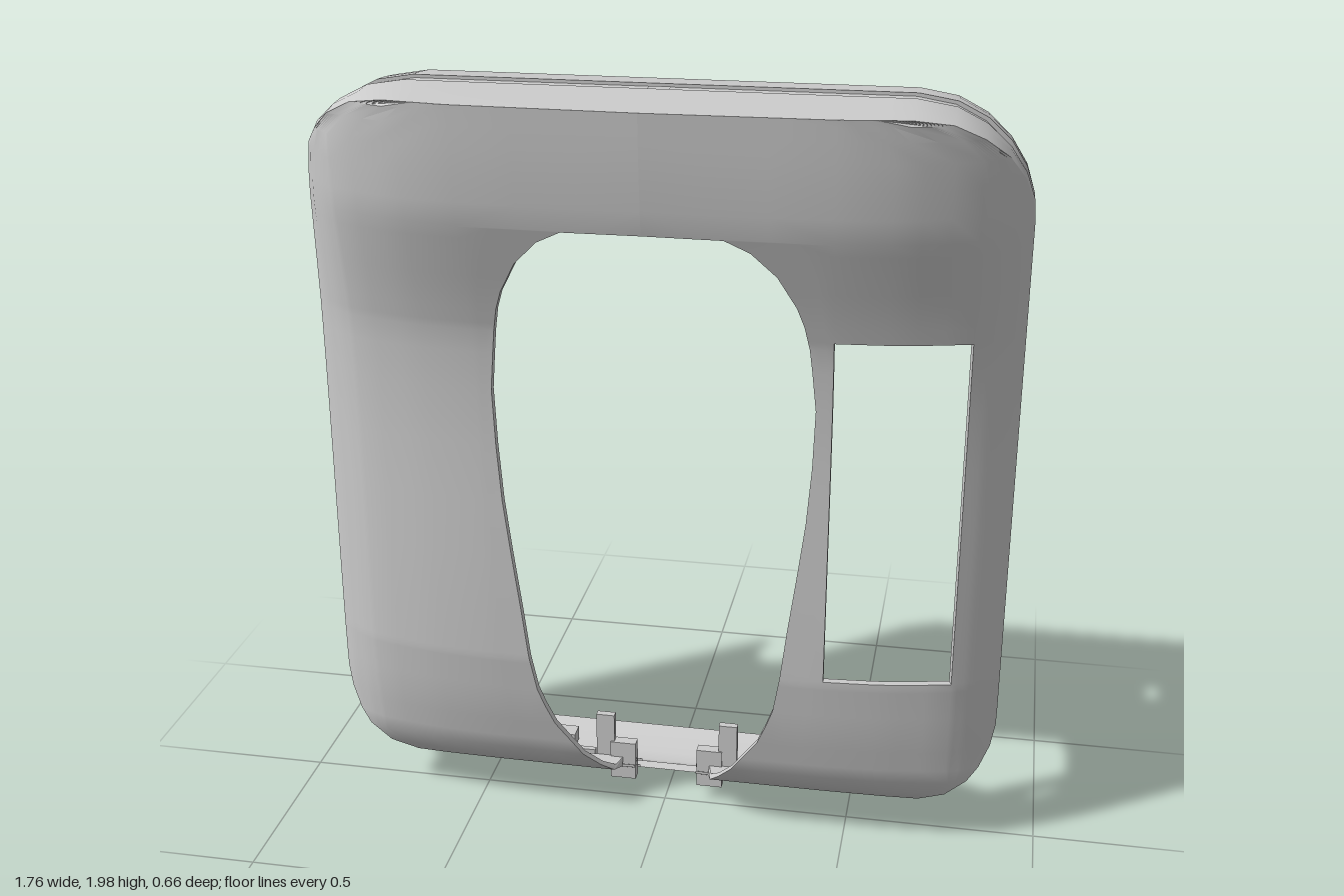
import * as THREE from 'three';
import { toCreasedNormals } from 'three/addons/utils/BufferGeometryUtils.js';

const T = 0.02; // shell thickness
const W = 0.88, BOT = 0.1, TOP = 1.98, R = 0.28;

// linear interpolation in a table of [key, value] pairs with rising keys
function curve(pts) {
  return (t) => {
    if (t <= pts[0][0]) return pts[0][1];
    for (let i = 1; i < pts.length; i++) {
      if (t <= pts[i][0]) {
        const [a, p] = pts[i - 1], [b, q] = pts[i];
        return p + ((q - p) * (t - a)) / (b - a);
      }
    }
    return pts[pts.length - 1][1];
  };
}

// front face depth by height, and how it falls away towards the sides
const faceZ = curve([[0.1, 0], [0.12, 0.06], [0.2, 0.12], [0.35, 0.155], [0.5, 0.175], [0.7, 0.18], [1.2, 0.18],
  [1.4, 0.2], [1.5, 0.23], [1.6, 0.265], [1.7, 0.3], [1.85, 0.32], [1.98, 0.33]]);
const fall = curve([[0, 0], [0.45, 0.03], [0.6, 0.1], [0.7, 0.22], [0.76, 0.3], [0.8, 0.42], [0.85, 0.62], [0.88, 0.8]]);
const F = (x, y) => faceZ(y) * (1 - fall(Math.abs(x)));
// half-width of the central opening by height
const opening = curve([[0.1, 0.12], [0.15, 0.16], [0.2, 0.2], [0.3, 0.27], [0.4, 0.31], [0.55, 0.335], [0.7, 0.35], [0.9, 0.38],
  [1.1, 0.395], [1.25, 0.4], [1.4, 0.385], [1.5, 0.365], [1.6, 0.31], [1.66, 0.25], [1.69, 0.19], [1.692, 0]]);
// rear edge with the side scallops
const backZ = curve([[0.1, -0.29], [0.15, -0.21], [0.2, -0.15], [0.24, -0.105], [0.3, -0.08], [0.36, -0.1], [0.41, -0.13], [0.45, -0.17],
  [0.49, -0.25], [0.5, -0.33], [1.41, -0.33], [1.43, -0.25], [1.47, -0.17], [1.52, -0.115], [1.6, -0.08],
  [1.66, -0.07], [1.75, -0.09], [1.82, -0.125], [1.88, -0.18], [1.93, -0.25], [1.965, -0.285], [1.98, -0.29]]);
// front line of the seam groove
const seamZ = curve([[0.1, 0], [0.2, 0.03], [0.3, 0.04], [0.45, 0], [0.65, -0.04], [0.85, -0.06], [1.2, -0.03],
  [1.5, 0.04], [1.7, 0.08], [1.85, 0.12], [1.98, 0.13]]);
// extents of the wall by depth
const halfW = curve([[-0.33, 0.775], [-0.26, 0.815], [-0.2, 0.84], [-0.1, 0.87], [0, W]]);
const topY = curve([[-0.29, 1.92], [-0.2, 1.95], [-0.05, 1.985], [0.1, 1.997], [0.33, TOP]]);
const botY = curve([[-0.29, 0.05], [-0.22, 0.025], [-0.15, 0.01], [-0.07, 0.06], [0, BOT]]);

const ys = [0.1, 0.115, 0.15, 0.2, 0.24, 0.3, 0.36, 0.41, 0.45, 0.49, 0.5, 0.515, 0.65, 0.8, 0.95, 1.1, 1.25, 1.35, 1.41,
  1.43, 1.47, 1.52, 1.56, 1.6, 1.63, 1.66, 1.69, 1.692, 1.75, 1.82, 1.88, 1.93, 1.965, 1.98];
const WIN0 = ys.indexOf(0.515), WIN1 = ys.indexOf(1.43);

function outlineX(y) {
  const d = Math.max(BOT + R - y, y - (TOP - R), 0);
  return W - R + Math.sqrt(Math.max(R * R - d * d, 0));
}

// grid of quads from a point rule; skip(i, j) leaves a cell open
function grid(f, nu, nv, skip = () => false) {
  const pos = [], idx = [];
  for (let i = 0; i <= nu; i++) for (let j = 0; j <= nv; j++) pos.push(...f(i, j));
  for (let i = 0; i < nu; i++) {
    for (let j = 0; j < nv; j++) {
      if (skip(i, j)) continue;
      const a = i * (nv + 1) + j, b = a + nv + 1;
      idx.push(a, b, a + 1, b, b + 1, a + 1);
    }
  }
  const g = new THREE.BufferGeometry();
  g.setAttribute('position', new THREE.Float32BufferAttribute(pos, 3));
  g.setIndex(idx);
  return toCreasedNormals(g, 0.6);
}

// columns of the face: opening, window inner edge, window outer edge, outline
const C1 = 3, C2 = 8, C3 = 16;
function facePoint(side, i, j, d) {
  const y = ys[j], xo = outlineX(y);
  const n = [opening(y), 0.44, Math.min(0.76, xo - 0.05), xo];
  const x = i <= C1 ? THREE.MathUtils.lerp(n[0], n[1], i / C1)
    : i <= C2 ? THREE.MathUtils.lerp(n[1], n[2], (i - C1) / (C2 - C1))
      : THREE.MathUtils.lerp(n[2], n[3], (i - C2) / (C3 - C2));
  return [side * (x - d * fall(x)), THREE.MathUtils.clamp(y, BOT + d, TOP - d), F(x, y) - d];
}

// closed outline, clockwise from top centre
const half = [[0, TOP], [0.025, TOP], [0.2, TOP], [0.44, TOP], [0.53, TOP]];
for (let j = ys.length - 1; j >= 0; j--) half.push([outlineX(ys[j]), ys[j]]);
half.push([0.5, BOT], [0.3, BOT], [0.085, BOT], [0, BOT]);
const loop = [...half, ...half.slice(0, -1).reverse().map(([x, y]) => [-x, y])];

const ROWS = 11;
function wallPoint(i, j, d) {
  const [x, y] = loop[i];
  const z0 = F(x, y) - d, g1 = Math.min(seamZ(y), z0 - 0.005), g2 = g1 - 0.07, zb = Math.min(backZ(y), g2 - 0.01);
  const z = [z0, (z0 + g1) / 2, g1, g1, g2, g2][j] ?? g2 + ((zb - g2) * (j - 5)) / (ROWS - 5);
  const e = d + (j === 3 || j === 4 ? 0.008 : 0);
  const top = (j ? topY(z) : TOP) - e, bot = (j ? botY(z) : BOT) + e;
  return [(x / W) * (halfW(z) - e), bot + ((y - BOT) / (TOP - BOT)) * (top - bot), z];
}
// slot in the top of the groove and notch at the bottom
function wallGap(i, j) {
  const mx = Math.abs(loop[i][0] + loop[i + 1][0]) / 2;
  const flat = loop[i][1] === loop[i + 1][1];
  if (!flat) return false;
  return loop[i][1] === TOP ? mx < 0.025 && j === 3 : mx < 0.085 && j < 5;
}

export function createModel() {
  const model = new THREE.Group();
  const mat = new THREE.MeshStandardMaterial({ color: 0xcccccc, side: THREE.DoubleSide });
  const add = (name, geo) => {
    const m = new THREE.Mesh(geo, mat);
    m.name = name;
    model.add(m);
    return m;
  };
  const box = (name, x, y, z, w, h, dp) => add(name, new THREE.BoxGeometry(w, h, dp)).position.set(x, y, z);
  const rows = ys.length - 1, n = loop.length - 1;

  // front face, outer and inner skin, with the window on the model's left
  for (const side of [1, -1]) {
    const hole = (i, j) => side > 0 && i >= C1 && i < C2 && j >= WIN0 && j < WIN1;
    add('frontFace', grid((i, j) => facePoint(side, i, j, 0), C3, rows, hole));
    add('frontFaceLining', grid((i, j) => facePoint(side, i, j, T), C3, rows, hole));
    add('openingEdge', grid((i, j) => facePoint(side, 0, i, j * T), ys.indexOf(1.692), 1));
  }
  for (const c of [C1, C2]) add('windowSideEdge', grid((i, j) => facePoint(1, c, WIN0 + i, j * T), WIN1 - WIN0, 1));
  for (const r of [WIN0, WIN1]) add('windowEndEdge', grid((i, j) => facePoint(1, C1 + i, r, j * T), C2 - C1, 1));

  // surrounding wall with seam groove and scalloped rear edge
  add('wall', grid((i, j) => wallPoint(i, j, 0), n, ROWS, wallGap));
  add('wallLining', grid((i, j) => wallPoint(i, j, T), n, ROWS, wallGap));
  add('rearEdge', grid((i, j) => wallPoint(i, ROWS, j * T), n, 1));

  // inner clips, ribs and posts, mirrored
  for (const s of [1, -1]) {
    for (const y of [1.7, 1.54, 0.47, 0.33]) box('sideClip', s * 0.82, y, -0.02, 0.06, 0.05, 0.06);
    for (const y of [1.54, 0.42]) box('faceClip', s * 0.58, y, F(0.58, y) - 0.05, 0.06, 0.05, 0.07);
    box('sideRib', s * 0.84, 0.95, -0.09, 0.025, 0.8, 0.025);
    box('topHook', s * 0.11, 1.93, 0, 0.05, 0.08, 0.05);
    box('topRib', s * 0.42, 1.965, -0.04, 0.45, 0.015, 0.015);
    box('bottomRib', s * 0.42, 0.09, -0.07, 0.42, 0.03, 0.015);
    box('bottomPost', s * 0.45, 0.13, -0.03, 0.05, 0.1, 0.02);
    box('bottomClip', s * 0.32, 0.07, -0.18, 0.06, 0.04, 0.05);
    box('notchBlock', s * 0.12, 0.11, -0.03, 0.07, 0.11, 0.03);
    box('notchPost', s * 0.17, 0.17, -0.03, 0.05, 0.15, 0.02);
  }
  return model;
}
